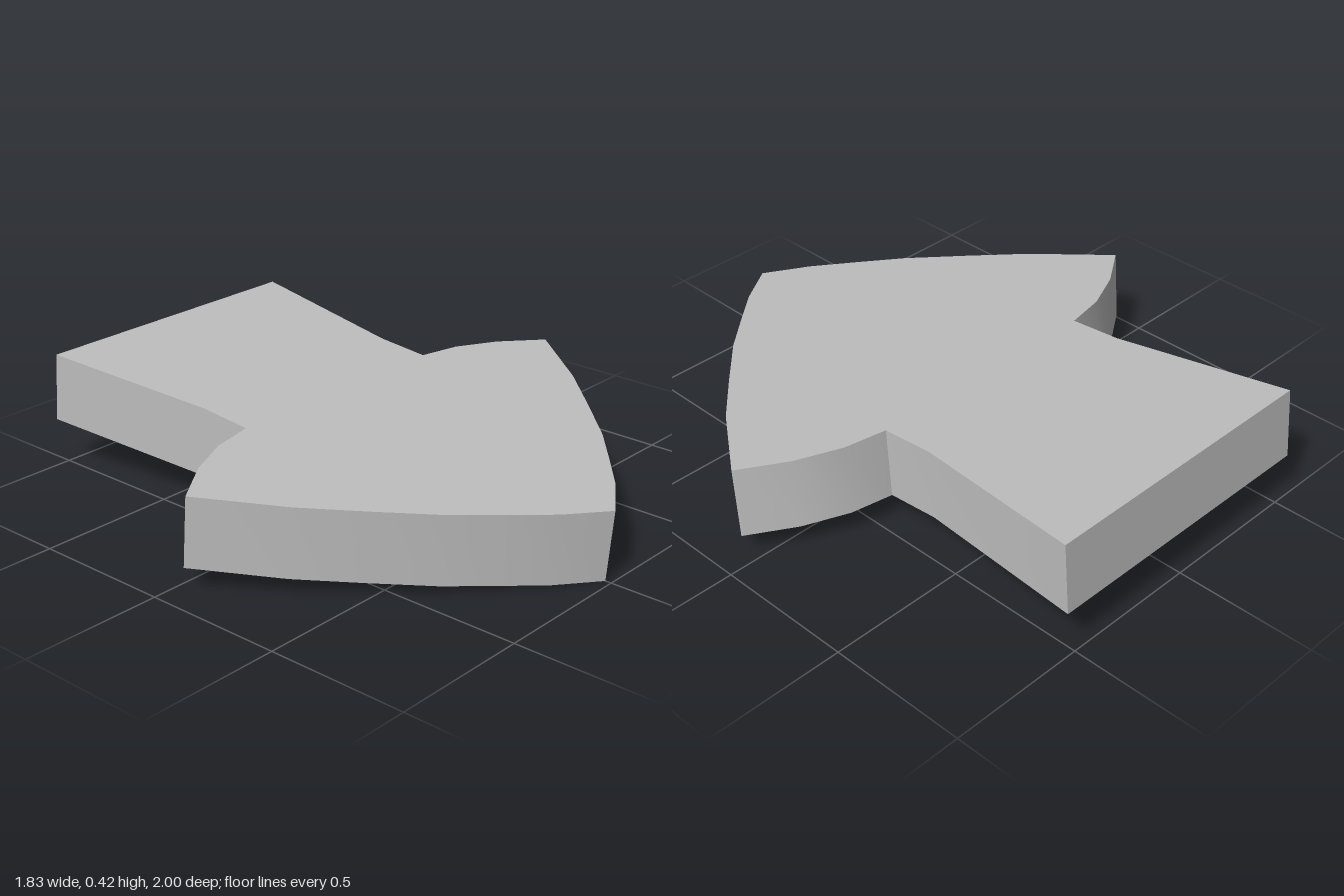
import * as THREE from 'three';
import { toCreasedNormals } from 'three/addons/utils/BufferGeometryUtils.js';

const TILT = THREE.MathUtils.degToRad(5);
const THICKNESS = 0.25;

// Half outline (x, z) of the top face, from the tip round to the tail.
const HALF = [
  [0, 1], [0.148, 0.9], [0.275, 0.79], [0.412, 0.668], [0.568, 0.5], [0.724, 0.326], [0.914, 0.065],
  [0.757, -0.042], [0.602, -0.111], [0.45, -0.14],
  [0.45, -0.333], [0.54, -0.978],
];

export function createModel() {
  const group = new THREE.Group();
  group.name = 'arrow';
  const grey = new THREE.MeshStandardMaterial({ color: 0xbebebe });
  grey.name = 'grey';

  // Undo the foreshortening of the tilt, then mirror the half outline.
  const half = HALF.map(([x, z]) =>
    new THREE.Vector2(x, -(z - THICKNESS * Math.sin(TILT)) / Math.cos(TILT)));
  const mirrored = half.slice(1).reverse().map((p) => new THREE.Vector2(-p.x, p.y));
  const shape = new THREE.Shape([...half, ...mirrored]);

  // Flat arrow slab, smooth along its curved rims and sharp at its corners.
  const slab = new THREE.ExtrudeGeometry(shape, { depth: THICKNESS, bevelEnabled: false });
  slab.rotateX(-Math.PI / 2 + TILT);
  slab.computeBoundingBox();
  slab.translate(0, -slab.boundingBox.min.y, 0);

  const arrow = new THREE.Mesh(toCreasedNormals(slab, Math.PI / 6), grey);
  arrow.name = 'arrowSlab';
  group.add(arrow);
  return group;
}
